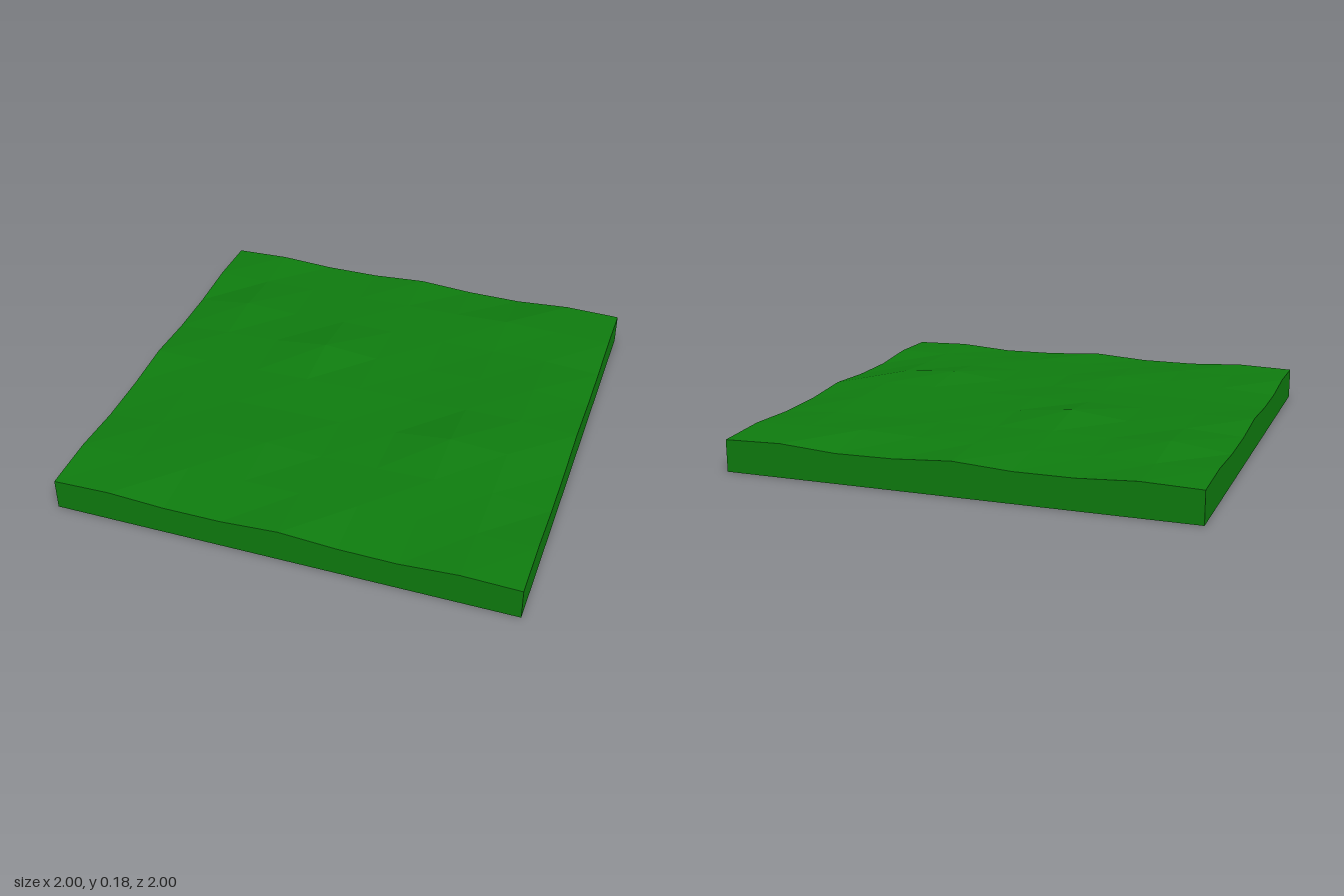
import * as THREE from 'three';

const CELLS = 8;

// Height profile shared by all four rims, in thousandths of a unit
const RIM = [138, 145, 131, 131, 147, 131, 128, 145, 138];

// Heights of the inner grid points: rows run back to front, columns along +x
const HILLS = [
  [140, 143, 146, 150, 152, 160, 152],
  [162, 150, 157, 152, 151, 150, 148],
  [147, 156, 184, 160, 152, 156, 158],
  [146, 151, 156, 160, 157, 164, 163],
  [141, 146, 150, 150, 157, 184, 167],
  [143, 153, 162, 148, 151, 157, 153],
  [145, 150, 146, 146, 149, 143, 145],
];

function heightAt(x, z) {
  const i = Math.round((x + 1) * CELLS / 2);
  const j = Math.round((z + 1) * CELLS / 2);
  if (j === 0 || j === CELLS) return RIM[i] / 1000;
  if (i === 0 || i === CELLS) return RIM[j] / 1000;
  return HILLS[j - 1][i - 1] / 1000;
}

export function createModel() {
  const grass = new THREE.MeshStandardMaterial({ color: 0x0f7d0f });
  grass.name = 'grass green';

  // Solid slab whose upper vertices follow the rolling ground
  const box = new THREE.BoxGeometry(2, 1, 2, CELLS, 1, CELLS);
  const p = box.attributes.position;
  for (let k = 0; k < p.count; k++) {
    p.setY(k, p.getY(k) > 0 ? heightAt(p.getX(k), p.getZ(k)) : 0);
  }

  // Separate the faces so each one is flat shaded
  const slab = box.toNonIndexed();
  slab.computeVertexNormals();

  const ground = new THREE.Mesh(slab, grass);
  ground.name = 'grassGround';

  const model = new THREE.Group();
  model.name = 'terrainTile';
  model.add(ground);
  return model;
}
